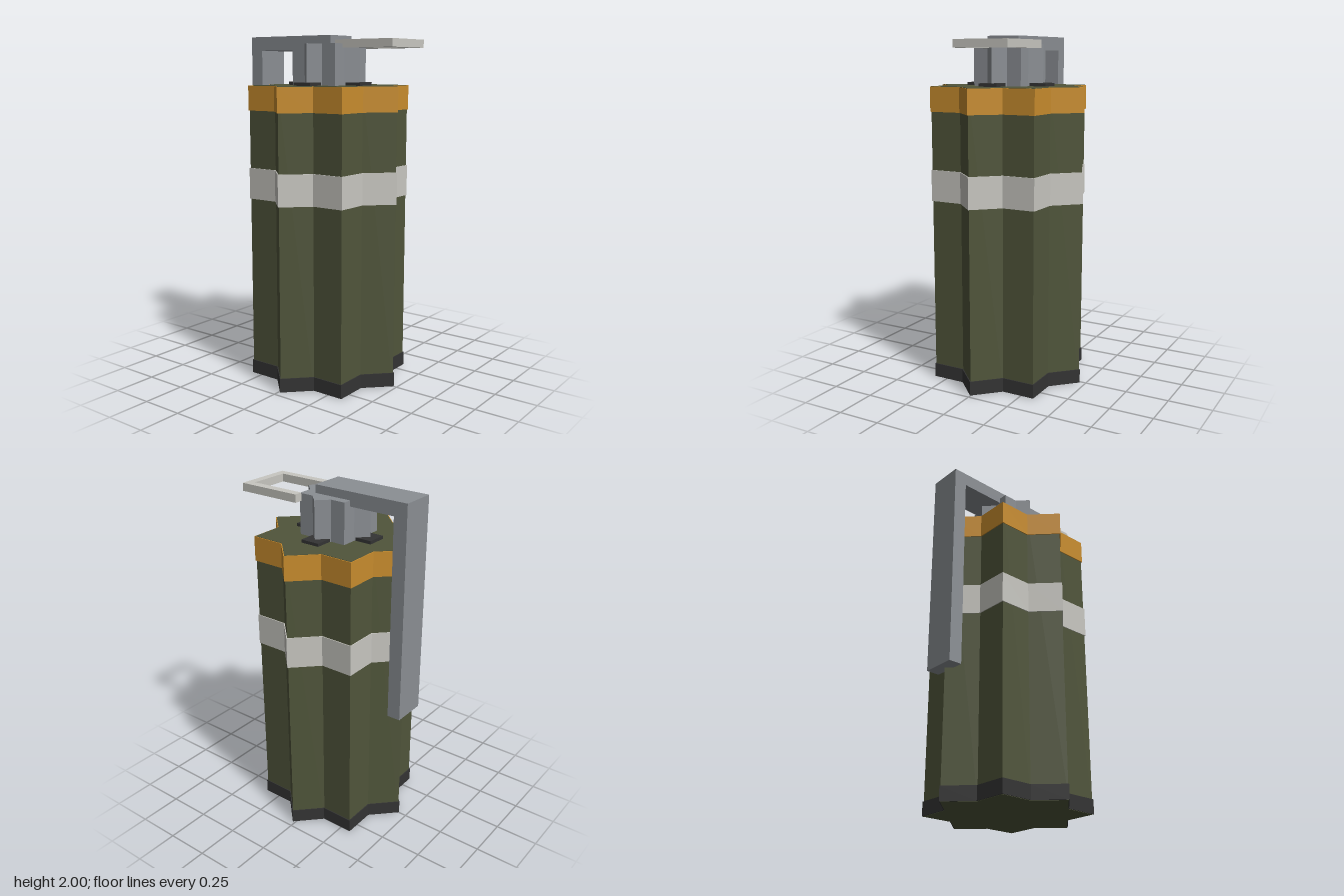
import * as THREE from 'three';

const mat = (name, color) => {
  const m = new THREE.MeshStandardMaterial({ color });
  m.name = name;
  return m;
};

export function createModel() {
  const olive = mat('olive', 0x50553b);
  const amber = mat('amber', 0xc98d2e);
  const pale = mat('pale grey', 0xc8c7c1);
  const steel = mat('steel grey', 0x8b8f94);
  const dark = mat('dark grey', 0x343434);

  const group = new THREE.Group();
  const axisX = 0.015; // the body axis sits slightly off centre

  const add = (name, geometry, material) => {
    const mesh = new THREE.Mesh(geometry, material);
    mesh.name = name;
    group.add(mesh);
    return mesh;
  };

  // Eight-pointed prism: outline of two squares turned 45 degrees apart
  const star = (name, tip, y0, y1, material) => {
    const inner = tip * Math.SQRT1_2 / Math.cos(Math.PI / 8);
    const points = [];
    for (let i = 0; i < 16; i++) {
      const a = i * Math.PI / 8;
      const r = i % 2 ? inner : tip;
      points.push(new THREE.Vector2(Math.cos(a) * r, Math.sin(a) * r));
    }
    const geo = new THREE.ExtrudeGeometry(new THREE.Shape(points), { depth: y1 - y0, bevelEnabled: false });
    geo.rotateX(-Math.PI / 2);
    geo.translate(axisX, y0, 0);
    return add(name, geo, material);
  };

  // Box given by its limits on each axis
  const box = (name, [x0, x1], [y0, y1], [z0, z1], material) => {
    const geo = new THREE.BoxGeometry(x1 - x0, y1 - y0, z1 - z0);
    geo.translate((x0 + x1) / 2, (y0 + y1) / 2, (z0 + z1) / 2);
    return add(name, geo, material);
  };

  // Body with its base, band and top collar
  star('body', 0.46, 0, 1.722, olive);
  star('base', 0.467, 0.002, 0.083, dark);
  star('band', 0.467, 1.07, 1.25, pale);
  star('collar', 0.467, 1.58, 1.72, amber);

  // Cross-shaped plate under the neck
  box('plateAcross', [axisX - 0.255, axisX + 0.255], [1.71, 1.74], [-0.057, 0.057], dark);
  box('plateAlong', [axisX - 0.057, axisX + 0.057], [1.71, 1.739], [-0.255, 0.255], dark);
  star('neck', 0.212, 1.72, 1.953, steel);

  // Bent lever: L-shaped profile extruded across its width
  const lever = new THREE.Shape([
    [-0.49, 0.74], [-0.41, 0.74], [-0.41, 1.92], [0.097, 1.92], [0.097, 2], [-0.49, 2],
  ].map(([x, y]) => new THREE.Vector2(x, y)));
  const leverGeo = new THREE.ExtrudeGeometry(lever, { depth: 0.2, bevelEnabled: false });
  leverGeo.translate(0, 0, -0.1);
  add('lever', leverGeo, steel);

  // Open square pull loop
  const loop = new THREE.Shape([
    [0.112, -0.08], [0.49, -0.08], [0.49, 0.248], [0.112, 0.248],
    [0.112, 0.2], [0.443, 0.2], [0.443, -0.032], [0.112, -0.032],
  ].map(([x, y]) => new THREE.Vector2(x, y)));
  const loopGeo = new THREE.ExtrudeGeometry(loop, { depth: 0.045, bevelEnabled: false });
  loopGeo.rotateX(-Math.PI / 2);
  loopGeo.translate(0, 1.93, 0);
  add('pullLoop', loopGeo, pale);

  return group;
}
